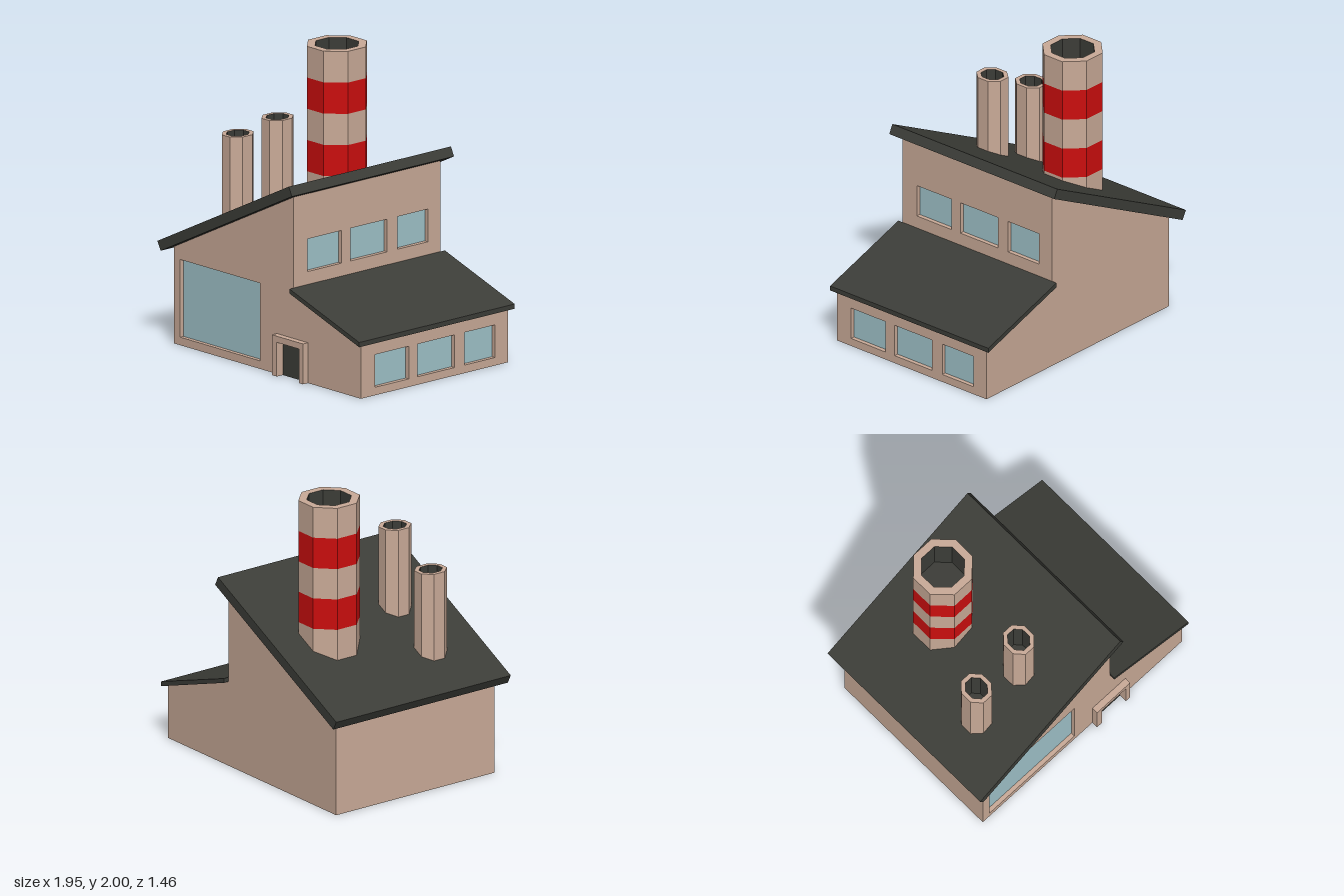
import * as THREE from 'three';

const material = (color) => new THREE.MeshStandardMaterial({ color, flatShading: true, side: THREE.DoubleSide });
const wallMat = material(0xcaab98);
const roofMat = material(0x3c3d38);
const glassMat = material(0xa0c3ca);
const redMat = material(0xcc0e0e);

const HALF_DEPTH = 0.66, RECESS = 0.03;
const roofMid = (x) => 1.165 + 0.498 * x; // height inside the main roof slab

function add(parent, name, geometry, mat) {
  const mesh = new THREE.Mesh(geometry, mat);
  mesh.name = name;
  parent.add(mesh);
  return mesh;
}

const polygon = (points) => new THREE.Shape(points.map(([x, y]) => new THREE.Vector2(x, y)));
const rect = (x0, x1, y0, y1) => [[x0, y0], [x1, y0], [x1, y1], [x0, y1]];

// Thin wall facing local +z, with openings given as [x0, x1, y0, y1]
function wall(parent, name, outline, openings = []) {
  const group = new THREE.Group();
  group.name = name;
  const shape = polygon(outline);
  for (const o of openings) shape.holes.push(polygon(rect(...o)));
  add(group, name + 'Panel', new THREE.ShapeGeometry(shape), wallMat);
  parent.add(group);
  return group;
}

// Recessed pane with a square reveal around it
function windowPane(parent, [x0, x1, y0, y1]) {
  const w = x1 - x0, h = y1 - y0;
  const reveal = new THREE.CylinderGeometry(Math.SQRT1_2, Math.SQRT1_2, 1, 4, 1, true, Math.PI / 4);
  reveal.rotateX(Math.PI / 2).scale(w, h, RECESS);
  add(parent, 'windowReveal', reveal, wallMat).position.set((x0 + x1) / 2, (y0 + y1) / 2, -RECESS / 2);
  add(parent, 'windowGlass', new THREE.PlaneGeometry(w, h), glassMat)
    .position.set((x0 + x1) / 2, (y0 + y1) / 2, -RECESS);
}

// Roof slab: side profile extruded along z
function roof(parent, name, profile, halfWidth) {
  const geometry = new THREE.ExtrudeGeometry(polygon(profile), { depth: 2 * halfWidth, bevelEnabled: false });
  add(parent, name, geometry.translate(0, 0, -halfWidth), roofMat);
}

// Octagonal tube section, flat sides facing the axes; ax, az are half widths
function octagon(ax, az, y0, y1) {
  const g = new THREE.CylinderGeometry(1, 1, y1 - y0, 8, 1, true, Math.PI / 8);
  const s = 1 / Math.cos(Math.PI / 8);
  return g.scale(ax * s, 1, az * s).translate(0, (y0 + y1) / 2, 0);
}

function chimney(parent, name, { x, z, ax, az, ix, iz, levels }) {
  const group = new THREE.Group();
  group.name = name;
  group.position.set(x, 0, z);
  const top = levels[levels.length - 1];
  // Alternating bands; the lowest one is cut along the roof slope
  for (let i = 0; i + 1 < levels.length; i++) {
    const g = octagon(ax, az, levels[i], levels[i + 1]);
    if (i === 0) {
      const p = g.attributes.position;
      for (let k = 0; k < p.count; k++) {
        if (p.getY(k) < levels[0] + 0.001) p.setY(k, roofMid(x + p.getX(k)));
      }
    }
    add(group, i % 2 ? 'redBand' : 'shaft', g, i % 2 ? redMat : wallMat);
  }
  // Rim and dark flue
  const ring = (a, b) => Array.from({ length: 8 }, (_, i) => {
    const t = (i + 0.5) * Math.PI / 4, s = 1 / Math.cos(Math.PI / 8);
    return [a * s * Math.cos(t), b * s * Math.sin(t)];
  });
  const rim = polygon(ring(ax, az));
  rim.holes.push(polygon(ring(ix, iz)));
  add(group, 'rim', new THREE.ShapeGeometry(rim).rotateX(-Math.PI / 2), wallMat).position.y = top;
  add(group, 'flue', octagon(ix, iz, top - 0.3, top), roofMat);
  add(group, 'flueFloor', new THREE.ShapeGeometry(polygon(ring(ix, iz))).rotateX(-Math.PI / 2), roofMat)
    .position.y = top - 0.3;
  parent.add(group);
}

export function createModel() {
  const model = new THREE.Group();
  model.name = 'factory';

  // Front and back walls
  const outline = [[-0.885, 0], [0.95, 0], [0.95, 0.378], [0.29, 0.6], [0.29, 1.253], [-0.885, 0.667]];
  const bigWindow = [-0.825, -0.04, 0.055, 0.59];
  const doorway = [0.125, 0.43, 0, 0.278];
  const frontOutline = [outline[0], [0.125, 0], [0.125, 0.278], [0.43, 0.278], [0.43, 0], ...outline.slice(1)];
  const front = wall(model, 'frontWall', frontOutline, [bigWindow]);
  front.position.z = HALF_DEPTH;
  windowPane(front, bigWindow);
  const back = wall(model, 'backWall', outline.map(([x, y]) => [-x, y]));
  back.rotation.y = Math.PI;
  back.position.z = -HALF_DEPTH;

  // Side walls; each left-hand wall carries a row of three windows
  const right = wall(model, 'rightWall', rect(-HALF_DEPTH, HALF_DEPTH, 0, 0.667));
  right.rotation.y = -Math.PI / 2;
  right.position.x = -0.885;
  const columns = [[-0.535, -0.23], [-0.15, 0.18], [0.27, 0.545]];
  const leftWalls = [
    ['lowerLeftWall', 0.95, 0, 0.378, 0.055, 0.28],
    ['upperLeftWall', 0.29, 0.6, 1.253, 0.715, 0.94],
  ];
  for (const [name, x, y0, y1, w0, w1] of leftWalls) {
    const openings = columns.map(([a, b]) => [a, b, w0, w1]);
    const side = wall(model, name, rect(-HALF_DEPTH, HALF_DEPTH, y0, y1), openings);
    side.rotation.y = Math.PI / 2;
    side.position.x = x;
    openings.forEach((o) => windowPane(side, o));
  }

  // Door and its projecting frame
  const [d0, d1, , dTop] = doorway;
  const frame = polygon([[d0, 0], [0.172, 0], [0.172, 0.235], [0.39, 0.235], [0.39, 0], [d1, 0], [d1, dTop], [d0, dTop]]);
  add(model, 'doorFrame', new THREE.ExtrudeGeometry(frame, { depth: 0.075, bevelEnabled: false }), wallMat)
    .position.z = 0.63;
  add(model, 'door', new THREE.PlaneGeometry(0.218, 0.235), roofMat).position.set(0.281, 0.1175, 0.65);

  // Roofs
  roof(model, 'mainRoof', [[-0.975, 0.7], [-0.942, 0.639], [0.347, 1.28], [0.316, 1.342]], 0.728);
  roof(model, 'leanToRoof', [[0.29, 0.595], [0.975, 0.367], [0.975, 0.4], [0.29, 0.626]], 0.698);

  // Chimneys
  chimney(model, 'tallChimney', {
    x: -0.33, z: -0.295, ax: 0.195, az: 0.195, ix: 0.142, iz: 0.142,
    levels: [0.8, 1.14, 1.355, 1.57, 1.785, 2],
  });
  for (const [x, top] of [[-0.623, 1.44], [-0.233, 1.635]]) {
    chimney(model, 'smallChimney', {
      x, z: 0.328, ax: 0.096, az: 0.107, ix: 0.068, iz: 0.077, levels: [0.7, top],
    });
  }
  return model;
}
